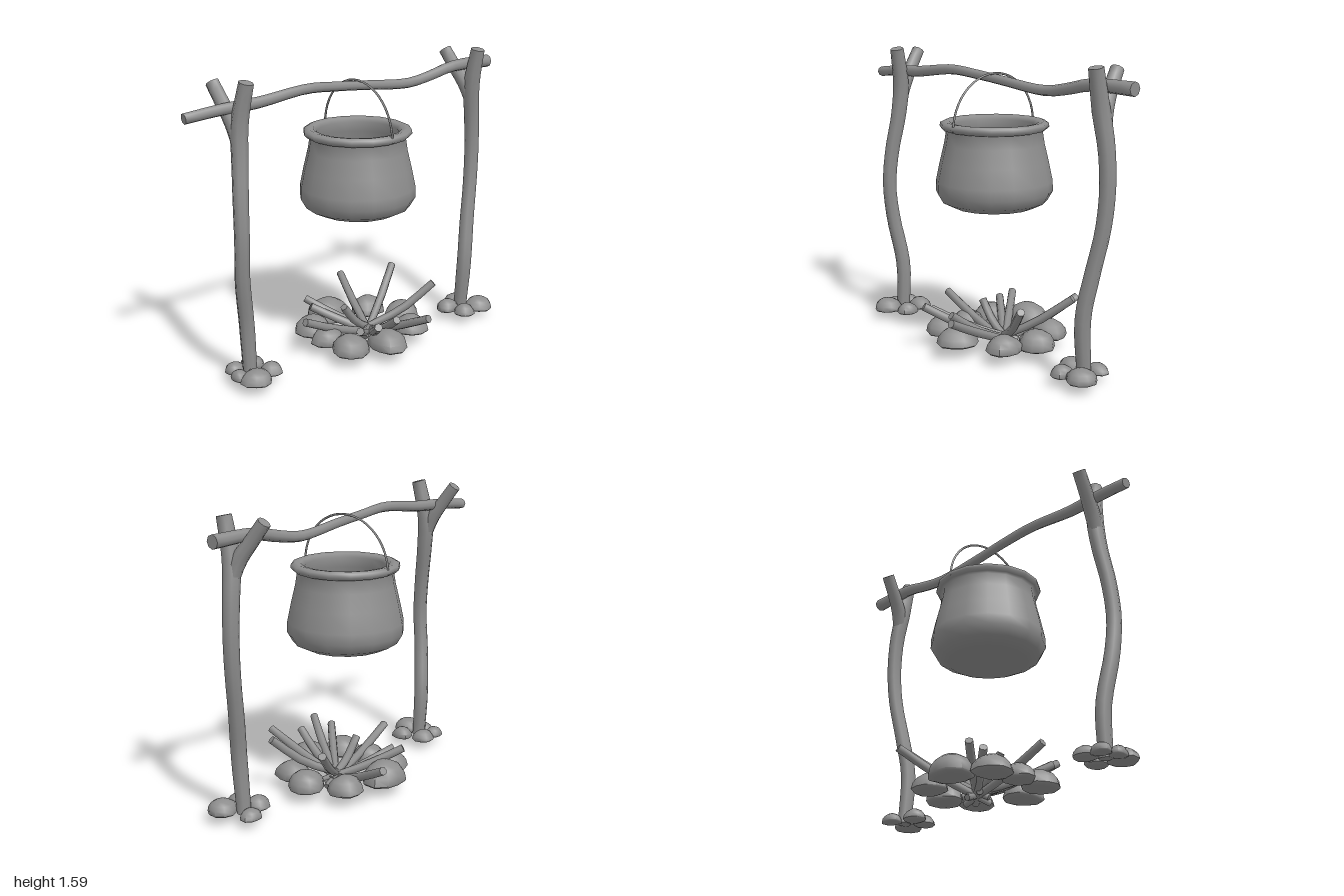
import * as THREE from 'three';
import { toCreasedNormals } from 'three/addons/utils/BufferGeometryUtils.js';

const V = (p) => new THREE.Vector3(...p);

export function createModel() {
  const model = new THREE.Group();
  const mat = new THREE.MeshStandardMaterial({ color: 0x8e8e8e });
  const add = (geo, name, parent = model) => {
    const mesh = new THREE.Mesh(geo, mat);
    mesh.name = name;
    parent.add(mesh);
    return mesh;
  };
  const group = (name) => {
    const g = new THREE.Group();
    g.name = name;
    model.add(g);
    return g;
  };

  // Wooden limb: a tube along a curve with varying radius and flat closed ends
  function limb(points, radii, sides = 8, steps = 20) {
    const curve = new THREE.CatmullRomCurve3(points.map(V));
    const geo = new THREE.TubeGeometry(curve, steps, 1, sides);
    const pos = geo.attributes.position, v = new THREE.Vector3();
    for (let i = 0; i <= steps; i++) {
      // the end rings collapse onto their neighbours' centres to form caps
      const k = Math.min(Math.max(i, 1), steps - 1);
      const t = (k - 1) / (steps - 2);
      const f = t * (radii.length - 1), a = Math.min(Math.floor(f), radii.length - 2);
      const r = k === i ? THREE.MathUtils.lerp(radii[a], radii[a + 1], f - a) : 0;
      const old = curve.getPointAt(i / steps), c = curve.getPointAt(t);
      for (let j = 0; j <= sides; j++) {
        const n = i * (sides + 1) + j;
        v.fromBufferAttribute(pos, n).sub(old).multiplyScalar(r).add(c);
        pos.setXYZ(n, v.x, v.y, v.z);
      }
    }
    return toCreasedNormals(geo, 0.95);
  }

  // Flat-bottomed, slightly uneven stone
  function stone(x, z, r, h, y, seed) {
    const geo = new THREE.SphereGeometry(1, 10, 8);
    const pos = geo.attributes.position;
    for (let i = 0; i < pos.count; i++) {
      const px = pos.getX(i), py = pos.getY(i), pz = pos.getZ(i);
      const k = 1.04 + 0.08 * Math.sin(3 * px + seed * 2.1) + 0.07 * Math.cos(4 * pz + seed);
      const up = py > 0 ? py * 0.8 : py * 0.2;
      pos.setXYZ(i, x + px * r * k, y + (up + 0.2) * h, z + pz * r * k);
    }
    return toCreasedNormals(geo, 0.9);
  }

  // Forked posts: trunk running into the tall prong, plus a side prong
  const posts = [
    { name: 'frontPost',
      trunk: [[0.05, 0.05, 0.72], [0.042, 0.32, 0.727], [0.078, 0.6, 0.768], [0.096, 0.8, 0.775], [0.08, 1, 0.765],
        [0.048, 1.2, 0.742], [0.035, 1.38, 0.73], [0.075, 1.59, 0.71]],
      prong: [[0.04, 1.27, 0.737], [0, 1.38, 0.745], [-0.06, 1.47, 0.76], [-0.13, 1.57, 0.775]] },
    { name: 'backPost',
      trunk: [[0.06, 0.05, -0.775], [0.08, 0.35, -0.78], [0.055, 0.58, -0.815], [0.03, 0.8, -0.855], [0.02, 1, -0.87],
        [0.022, 1.2, -0.86], [0.038, 1.38, -0.835], [0.08, 1.59, -0.835]],
      prong: [[0.03, 1.27, -0.85], [0, 1.38, -0.825], [-0.06, 1.47, -0.8], [-0.13, 1.57, -0.78]] },
  ];
  for (const p of posts) {
    const g = group(p.name);
    add(limb(p.trunk, [0.037, 0.041, 0.041, 0.039, 0.04, 0.042, 0.046, 0.038], 8, 24), 'trunk', g);
    add(limb(p.prong, [0.036, 0.042, 0.037, 0.035], 8, 10), 'sideProng', g);
  }

  // Crossbar resting in the forks
  add(limb([[-0.03, 1.435, 1], [-0.015, 1.455, 0.8], [0, 1.465, 0.6], [0.005, 1.497, 0.3], [-0.003, 1.483, 0.1],
    [-0.005, 1.465, -0.1], [-0.015, 1.438, -0.4], [-0.012, 1.458, -0.55], [-0.01, 1.493, -0.72], [-0.01, 1.495, -1]],
  [0.028, 0.031, 0.027, 0.025, 0.027, 0.031, 0.036], 8, 32), 'crossbar');

  // Hanging pot, outside up over the rim and down the inside
  const pot = group('pot');
  pot.position.z = -0.035;
  const profile = [[0, 0.768], [0.12, 0.772], [0.22, 0.788], [0.285, 0.82], [0.315, 0.872], [0.313, 0.93], [0.292, 1.03],
    [0.268, 1.13], [0.257, 1.2], [0.276, 1.205], [0.292, 1.221], [0.289, 1.24], [0.267, 1.25], [0.238, 1.245],
    [0.221, 1.225], [0.232, 1.17], [0.268, 1.03], [0.288, 0.92], [0.26, 0.85], [0.18, 0.81], [0, 0.795]];
  add(new THREE.LatheGeometry(profile.map((p) => new THREE.Vector2(...p)), 16), 'kettle', pot);
  add(new THREE.TorusGeometry(0.285, 0.006, 6, 24, Math.PI), 'handle', pot).position.y = 1.215;

  // Stones: [x, z, radius, height]
  const stones = {
    fireStones: [[0, -0.365, 0.1, 0.115], [0.165, -0.29, 0.09, 0.105], [-0.2, -0.27, 0.09, 0.11], [-0.26, -0.03, 0.115, 0.135],
      [0.265, -0.04, 0.105, 0.115], [0.18, 0.16, 0.105, 0.11], [0.01, 0.18, 0.09, 0.1], [-0.15, 0.16, 0.1, 0.115]],
    frontPostStones: [[0.15, 0.745, 0.08, 0.08], [0.1, 0.62, 0.055, 0.07], [-0.03, 0.66, 0.06, 0.07],
      [-0.03, 0.76, 0.05, 0.06], [0.06, 0.79, 0.045, 0.06]],
    backPostStones: [[0.15, -0.84, 0.08, 0.08], [0.16, -0.715, 0.055, 0.07], [0.05, -0.68, 0.06, 0.075],
      [-0.01, -0.8, 0.055, 0.06]],
  };
  for (const [name, list] of Object.entries(stones)) {
    const g = group(name);
    const base = name === 'fireStones' ? 0.053 : 0.042;
    list.forEach(([x, z, r, h], i) => add(stone(x, z, r, h, base, i + 1), 'stone', g));
  }

  // Firewood fanning out from the middle of the fire
  const wood = group('firewood');
  const ends = [[-0.43, 0.24, -0.25], [-0.19, 0.32, -0.45], [0.18, 0.32, -0.44], [0.43, 0.25, -0.18], [0.37, 0.26, 0.12],
    [0.28, 0.22, 0.17], [0.02, 0.23, 0.34], [-0.28, 0.22, 0.12], [0, 0.24, 0.06], [-0.2, 0.2, 0.14], [0.32, 0.24, -0.05]];
  ends.forEach(([x, y, z], i) => {
    const s = [-x * 0.18, 0.022 + 0.016 * (i % 3), -0.12 - (z + 0.12) * 0.18];
    const mid = [x * 0.5, y * 0.5 + 0.01 + 0.01 * (i % 2), (z - 0.12) * 0.5];
    add(limb([s, mid, [x, y, z]], [0.018, 0.024, 0.022], 7, 7), 'stick', wood);
  });

  return model;
}
